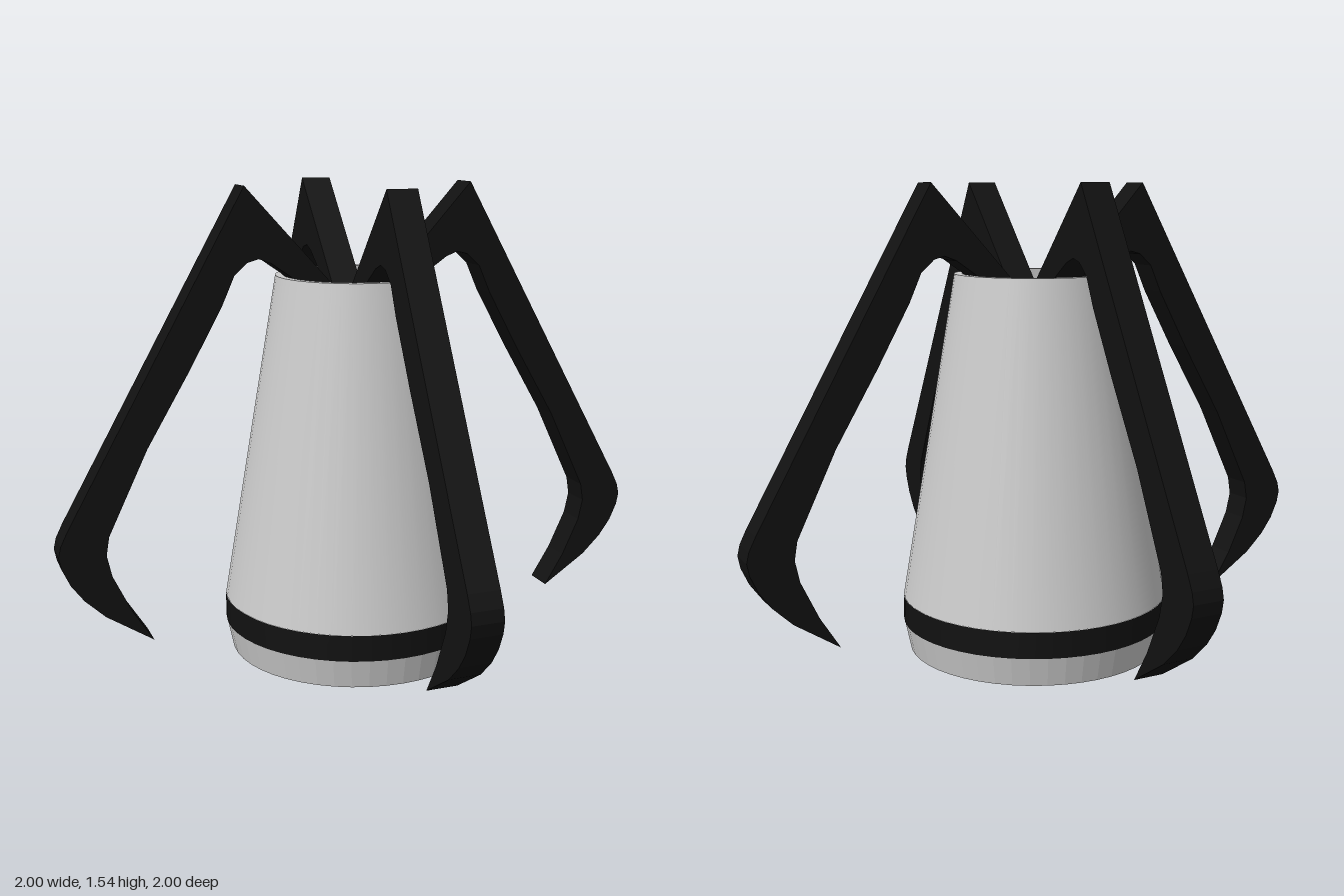
import * as THREE from 'three';

const grey = new THREE.MeshStandardMaterial({ color: 0xcccccc, side: THREE.DoubleSide });
const greyFlat = new THREE.MeshStandardMaterial({ color: 0xcccccc, flatShading: true, side: THREE.DoubleSide });
const black = new THREE.MeshStandardMaterial({ color: 0x111111 });
const SEGMENTS = 48;

function add(parent, name, geometry, material) {
  const mesh = new THREE.Mesh(geometry, material);
  mesh.name = name;
  parent.add(mesh);
  return mesh;
}

// Open cone ring between two heights
function ring(rBottom, yBottom, rTop, yTop) {
  return new THREE.CylinderGeometry(rTop, rBottom, yTop - yBottom, SEGMENTS, 1, true)
    .translate(0, (yTop + yBottom) / 2, 0);
}

// Flat arm outline in the x-y plane, from the hub over the peak to the hooked tip and back
function armGeometry(width) {
  const outline = [
    [0, 1.12], [0.383, 1.54], [0.968, 0.5], [0.99, 0.455], [0.998, 0.42], [0.99, 0.38],
    [0.965, 0.325], [0.925, 0.27], [0.86, 0.208], [0.71, 0.11],
    [0.776, 0.215], [0.835, 0.34], [0.85, 0.41], [0.84, 0.47],
    [0.71, 0.74], [0.568, 0.98], [0.46, 1.175], [0.42, 1.265], [0.376, 1.305],
    [0.34, 1.315], [0.3, 1.3], [0.235, 1.255], [0, 1.03],
  ];
  const shape = new THREE.Shape(outline.map(([x, y]) => new THREE.Vector2(x, y)));
  return new THREE.ExtrudeGeometry(shape, { depth: width, bevelEnabled: false })
    .translate(0, 0, -width / 2);
}

export function createModel() {
  const model = new THREE.Group();
  model.name = 'fourArmedVessel';

  // Hollow tapered vessel
  const vessel = new THREE.Group();
  vessel.name = 'vessel';
  model.add(vessel);
  add(vessel, 'outerWall', ring(0.44, 0.18, 0.26, 1.25), grey);
  add(vessel, 'innerWall', ring(0.415, 0.18, 0.235, 1.25), grey);
  add(vessel, 'rim', new THREE.RingGeometry(0.235, 0.26, SEGMENTS)
    .rotateX(-Math.PI / 2).translate(0, 1.25, 0), grey);
  add(vessel, 'innerFloor', new THREE.CircleGeometry(0.415, SEGMENTS)
    .rotateX(-Math.PI / 2).translate(0, 0.18, 0), grey);

  // Bevelled foot and dark band above it
  add(vessel, 'foot', ring(0.42, 0, 0.44, 0.095), greyFlat);
  add(vessel, 'underside', new THREE.CircleGeometry(0.42, SEGMENTS)
    .rotateX(Math.PI / 2), grey);
  add(vessel, 'band', ring(0.441, 0.095, 0.441, 0.18), black);

  // Four hooked arms meeting over the mouth
  const arm = armGeometry(0.1);
  for (let i = 0; i < 4; i++) {
    add(model, `arm${i + 1}`, arm, black).rotation.y = (i * Math.PI) / 2;
  }
  return model;
}
